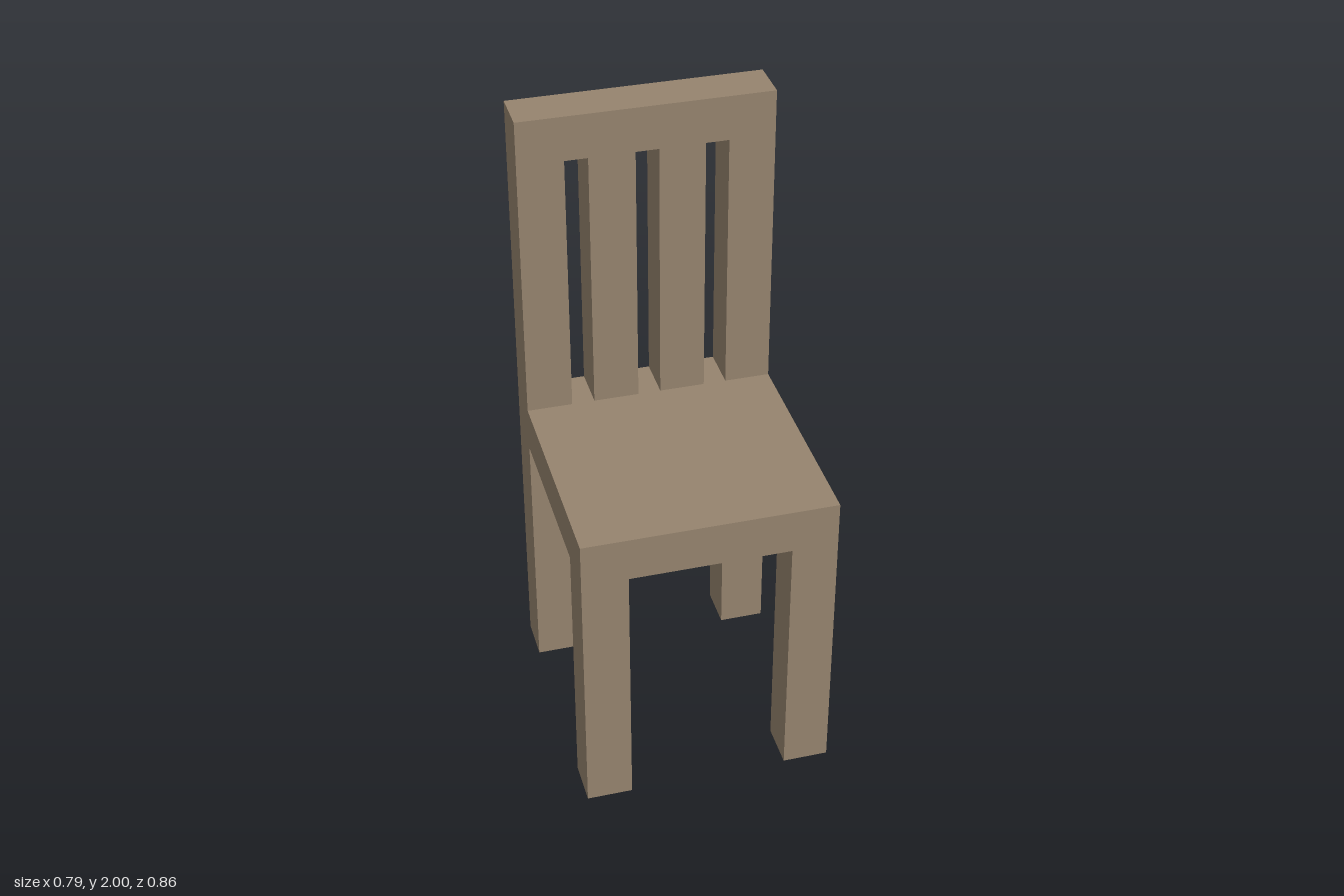
import * as THREE from 'three';

// All sizes are multiples of the timber thickness
const T = 1 / 7;
const HALF_W = 2.75 * T, HALF_D = 3 * T;
const SEAT_TOP = 7 * T, HEIGHT = 14 * T;

const wood = new THREE.MeshStandardMaterial({ color: 0x96846e, flatShading: true });

function addBox(group, name, w, h, d, x, y, z) {
  const mesh = new THREE.Mesh(new THREE.BoxGeometry(w, h, d), wood);
  mesh.name = name;
  mesh.position.set(x, y, z);
  group.add(mesh);
}

// Back legs, rails and slats cut from one board
function createBackFrame() {
  const inner = HALF_W - T, under = SEAT_TOP - T;
  const outline = new THREE.Shape([
    [-HALF_W, 0], [-inner, 0], [-inner, under], [inner, under],
    [inner, 0], [HALF_W, 0], [HALF_W, HEIGHT], [-HALF_W, HEIGHT],
  ].map(([x, y]) => new THREE.Vector2(x, y)));

  // Three slots leave two slats between the posts
  for (const i of [-1, 0, 1]) {
    const x0 = i * 1.5 * T - T / 4, x1 = x0 + T / 2;
    outline.holes.push(new THREE.Path([
      new THREE.Vector2(x0, SEAT_TOP), new THREE.Vector2(x0, HEIGHT - T),
      new THREE.Vector2(x1, HEIGHT - T), new THREE.Vector2(x1, SEAT_TOP),
    ]));
  }
  const geometry = new THREE.ExtrudeGeometry(outline, { depth: T, bevelEnabled: false });
  const mesh = new THREE.Mesh(geometry, wood);
  mesh.name = 'backFrame';
  mesh.position.z = -HALF_D;
  return mesh;
}

export function createModel() {
  const chair = new THREE.Group();
  chair.name = 'chair';
  chair.add(createBackFrame());

  // Seat reaches from the back frame to the front edge
  addBox(chair, 'seat', 2 * HALF_W, T, 2 * HALF_D - T, 0, SEAT_TOP - T / 2, T / 2);

  // Front legs
  for (const side of [-1, 1]) {
    addBox(chair, side > 0 ? 'frontLegLeft' : 'frontLegRight',
      T, SEAT_TOP - T, T, side * (HALF_W - T / 2), (SEAT_TOP - T) / 2, HALF_D - T / 2);
  }
  return chair;
}
